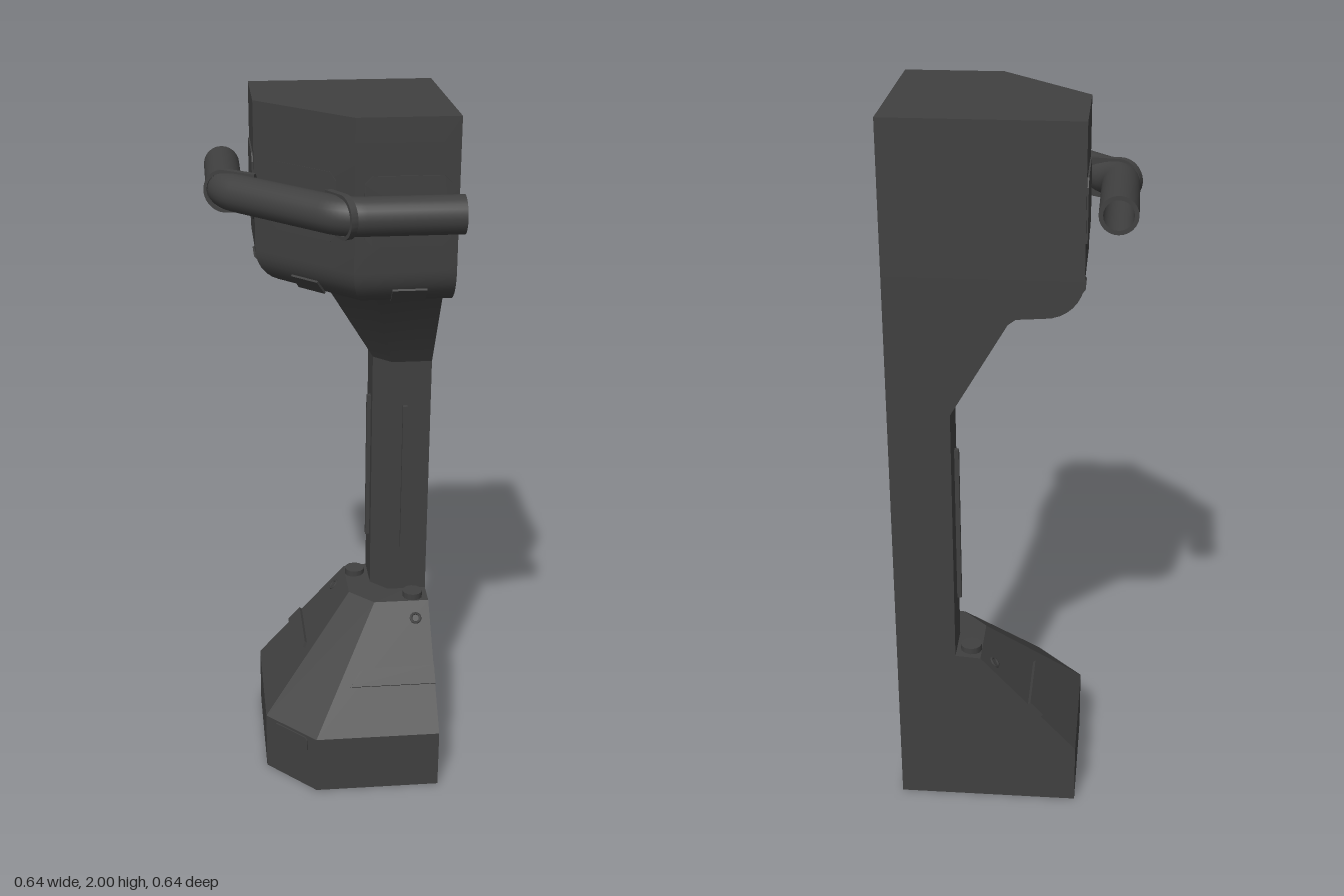
import * as THREE from 'three';
import { toCreasedNormals } from 'three/addons/utils/BufferGeometryUtils.js';

const E = 0.315; // the two flat wall sides lie at x = E and z = -E
const PIPE_Y = 1.775;
const material = new THREE.MeshStandardMaterial({ color: 0x404040, side: THREE.DoubleSide });

// Reflects a front detail onto the matching side face (x <-> -z)
function mirrored(geometry) {
  const g = geometry.index ? geometry.toNonIndexed() : geometry.clone();
  g.applyMatrix4(new THREE.Matrix4().set(0, 0, -1, 0, 0, 1, 0, 0, -1, 0, 0, 0, 0, 0, 0, 1));
  const index = [];
  for (let i = 0; i < g.attributes.position.count; i += 3) index.push(i, i + 2, i + 1);
  g.setIndex(index);
  return g;
}

// Lofts a square with one chamfered corner through rows of [y, size, chamfer start]
function loftBody(rows) {
  const positions = [], index = [], n = 5;
  for (const [y, s, c] of rows) {
    for (const [u, v] of [[0, 0], [s, 0], [s, c], [c, s], [0, s]]) positions.push(E - u, y, v - E);
  }
  for (let r = 0; r < rows.length - 1; r++) {
    for (let i = 0; i < n; i++) {
      const a = r * n + i, b = r * n + (i + 1) % n;
      index.push(a, b, b + n, a, b + n, a + n);
    }
  }
  const top = (rows.length - 1) * n;
  for (let i = 1; i < n - 1; i++) {
    index.push(0, i + 1, i);
    index.push(top, top + i, top + i + 1);
  }
  const g = new THREE.BufferGeometry();
  g.setAttribute('position', new THREE.Float32BufferAttribute(positions, 3));
  g.setIndex(index);
  return toCreasedNormals(g, 0.5);
}

// Thin raised plate facing +z, turned and moved into place
function plate(points, depth, [x, y, z], rx = 0, ry = 0) {
  const shape = new THREE.Shape(points.map(([px, py]) => new THREE.Vector2(px, py)));
  const g = new THREE.ExtrudeGeometry(shape, { depth, bevelEnabled: false });
  return g.rotateX(rx).rotateY(ry).translate(x, y, z);
}

const rect = (w, h) => [[-w / 2, -h / 2], [w / 2, -h / 2], [w / 2, h / 2], [-w / 2, h / 2]];
const hexPlate = (w, h, k) => [
  [-w / 2 + k, -h / 2], [w / 2 - k, -h / 2], [w / 2, -h / 2 + k], [w / 2, h / 2 - k],
  [w / 2 - k, h / 2], [-w / 2 + k, h / 2], [-w / 2, h / 2 - k], [-w / 2, -h / 2 + k]];

export function createModel() {
  const model = new THREE.Group();
  const add = (name, geometry) => {
    const mesh = new THREE.Mesh(geometry, material);
    mesh.name = name;
    model.add(mesh);
  };
  const addPair = (name, geometry) => {
    add(name + 'Front', geometry);
    add(name + 'Side', mirrored(geometry));
  };

  // Column: base, slim shaft, flared neck and rounded head
  const rows = [
    [0, 0.505, 0.365], [0.18, 0.505, 0.365], [0.48, 0.235, 0.165], [0.485, 0.165, 0.115],
    [1.23, 0.165, 0.115], [1.485, 0.315, 0.185], [1.5, 0.335, 0.195]];
  const R = 0.1;
  for (let i = 0; i <= 8; i++) {
    const a = (i / 8) * Math.PI / 2;
    const inset = R * (1 - Math.sin(a));
    rows.push([1.505 + R * (1 - Math.cos(a)), 0.505 - inset, 0.265 - 0.414 * inset]);
  }
  rows.push([2, 0.505, 0.265]);
  add('column', loftBody(rows));

  // Shaft ribs
  addPair('shaftRib', plate(rect(0.014, 0.46), 0.014, [0.24, 0.865, -0.152]));

  // Base details: slope plates, bolts and corner plate
  const tilt = -Math.atan2(0.27, 0.3);
  addPair('slopePlate',
    plate([[-0.127, 0], [0.127, 0], [0.127, 0.055], [-0.08, 0.055], [-0.1, 0.045]], 0.01,
      [0.188, 0.29, 0.09], tilt));
  addPair('bolt', new THREE.CylinderGeometry(0.03, 0.03, 0.025, 12).translate(0.27, 0.487, -0.11));
  addPair('slopeRing',
    new THREE.TorusGeometry(0.014, 0.004, 6, 16).rotateX(tilt).translate(0.272, 0.44, -0.044));
  add('cornerPlate', plate(hexPlate(0.13, 0.05, 0.008), 0.004, [-0.12, 0.147, 0.12], 0, -Math.PI / 4));

  // Head plates behind the rail, and tabs along the rounded lower edge
  const backing = hexPlate(0.22, 0.18, 0.02);
  addPair('headPlate', plate(backing, 0.004, [0.185, 1.765, 0.19]));
  add('headPlateCorner', plate(backing, 0.004, [-0.068, 1.765, 0.068], 0, -Math.PI / 4));
  addPair('edgeTab', plate(rect(0.09, 0.05), 0.006, [0.195, 1.54, 0.169], 0.7));
  add('edgeTabCorner', plate(rect(0.09, 0.05), 0.006, [-0.055, 1.54, 0.055], 0.7, -Math.PI / 4));

  // Hollow handrail following the chamfered corner
  const P = (x, z) => new THREE.Vector3(x, PIPE_Y, z);
  const bend = 0.05, q = bend * Math.SQRT1_2;
  const path = new THREE.CurvePath();
  path.add(new THREE.LineCurve3(P(-0.268, -E), P(-0.268, -0.016 - bend)));
  path.add(new THREE.QuadraticBezierCurve3(
    P(-0.268, -0.016 - bend), P(-0.268, -0.016), P(-0.268 + q, -0.016 + q)));
  path.add(new THREE.LineCurve3(P(-0.268 + q, -0.016 + q), P(0.016 - q, 0.268 - q)));
  path.add(new THREE.QuadraticBezierCurve3(
    P(0.016 - q, 0.268 - q), P(0.016, 0.268), P(0.016 + bend, 0.268)));
  path.add(new THREE.LineCurve3(P(0.016 + bend, 0.268), P(E, 0.268)));
  add('handrail', new THREE.TubeGeometry(path, 80, 0.049, 24));
  add('handrailInside', new THREE.TubeGeometry(path, 80, 0.038, 24));
  const rim = new THREE.RingGeometry(0.038, 0.049, 24);
  addPair('handrailRim', rim.rotateY(Math.PI / 2).translate(E, PIPE_Y, 0.268));

  // Brackets: rounded loops around the rail bends, reaching back to the head
  const loop = new THREE.Shape();
  loop.moveTo(-0.085, -0.05);
  loop.lineTo(0, -0.056);
  loop.absarc(0, 0, 0.056, -Math.PI / 2, Math.PI / 2, false);
  loop.lineTo(-0.085, 0.05);
  loop.closePath();
  const hole = new THREE.Path();
  hole.absarc(0, 0, 0.047, 0, Math.PI * 2, true);
  loop.holes.push(hole);
  const bracket = new THREE.ExtrudeGeometry(loop, { depth: 0.018, bevelEnabled: false, curveSegments: 16 });
  bracket.translate(0, 0, -0.009).rotateY(-Math.PI * 3 / 8).translate(0.016, PIPE_Y, 0.268);
  addPair('railBracket', toCreasedNormals(bracket, 0.6));

  return model;
}
